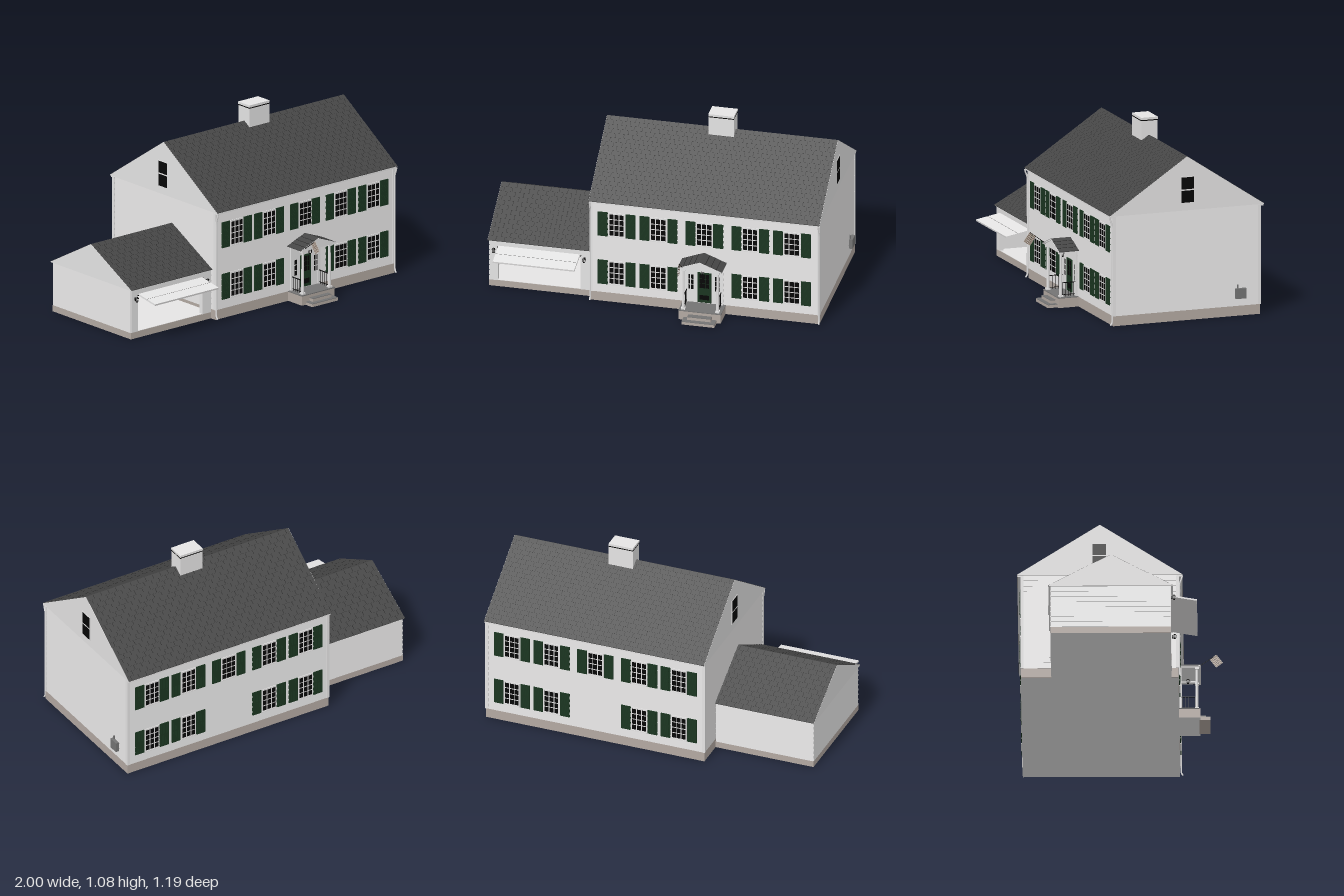
import * as THREE from 'three';
import { mergeGeometries } from 'three/addons/utils/BufferGeometryUtils.js';

const paint = (name, color, side = THREE.FrontSide) => {
  const m = new THREE.MeshStandardMaterial({ color, side });
  m.name = name;
  return m;
};

export function createModel() {
  const house = new THREE.Group();
  house.name = 'house';
  const white = paint('white siding', 0xe5e4e4);
  const roofGrey = paint('roof shingle', 0x464646);
  const slitGrey = paint('shingle gap', 0x222222);
  const stone = paint('foundation stone', 0xb3a9a2);
  const grey = paint('grey concrete', 0x747474);
  const green = paint('shutter green', 0x1a3520);
  const black = paint('black', 0x060606);
  const cloth = paint('flag cloth', 0xcfc4b8, THREE.DoubleSide);
  const brown = paint('flag stripe', 0x7c685c, THREE.DoubleSide);

  const add = (name, geo, mat, parent = house) => {
    const m = new THREE.Mesh(geo, mat);
    m.name = name;
    parent.add(m);
    return m;
  };
  const box = (name, mat, x0, x1, y0, y1, z0, z1, parent) => {
    const m = add(name, new THREE.BoxGeometry(x1 - x0, y1 - y0, z1 - z0), mat, parent);
    m.position.set((x0 + x1) / 2, (y0 + y1) / 2, (z0 + z1) / 2);
    return m;
  };
  // Side profile of [z, y] points, extruded along x
  const prism = (name, mat, pts, x0, x1, parent) => {
    const shape = new THREE.Shape(pts.map(([z, y]) => new THREE.Vector2(-z, y)));
    const g = new THREE.ExtrudeGeometry(shape, { depth: x1 - x0, bevelEnabled: false });
    return add(name, g.rotateY(Math.PI / 2).translate(x0, 0, 0), mat, parent);
  };
  const tube = (name, mat, pts, r) => add(name, new THREE.TubeGeometry(
    new THREE.CatmullRomCurve3(pts.map((p) => new THREE.Vector3(...p)), false, 'centripetal'), pts.length * 5, r, 6), mat);

  // Overlapping clapboards on one wall, facing local +z
  const siding = (name, x, z, turn, width, y0, y1, n) => {
    const pts = [[0, y0]], step = (y1 - y0) / n;
    for (let i = 0; i < n; i++) pts.push([0.005, y0 + i * step], [0.002, y0 + (i + 1) * step]);
    pts.push([0, y1]);
    const m = prism(name, white, pts, -width / 2, width / 2);
    m.position.set(x, 0, z);
    m.rotation.y = turn;
  };

  // Gable roof with stepped shingle courses, staggered gaps and white gable ends
  const shingleRoof = (name, x0, x1, zFront, zBack, yEave, yRidge, n, d = 0.0022, gap = 0.05) => {
    const zr = (zFront + zBack) / 2;
    const slits = [];
    const slope = (ze, s) => {
      const run = Math.abs(ze - zr), rise = yRidge - yEave, len = Math.hypot(run, rise);
      const at = (t, o) => [ze + (zr - ze) * t + (s * o * rise) / len, yEave + rise * t + (o * run) / len];
      const pts = [];
      for (let i = 0; i < n; i++) {
        const a = at(i / n, d), b = at((i + 1) / n, 0.0006);
        pts.push(a, b);
        const up = new THREE.Vector3(0, b[1] - a[1], b[0] - a[0]);
        const l = up.length();
        const X = new THREE.Vector3(s, 0, 0), Y = up.normalize(), Z = X.clone().cross(Y);
        for (let x = x0 + gap * (i % 2 ? 0.5 : 0.95); x < x1 - 0.01; x += gap) {
          const M = new THREE.Matrix4().makeBasis(X, Y, Z)
            .setPosition(x, (a[1] + b[1]) / 2 + Z.y * 0.0008, (a[0] + b[0]) / 2 + Z.z * 0.0008);
          slits.push(new THREE.PlaneGeometry(0.003, l * 0.8).applyMatrix4(M));
        }
      }
      return pts;
    };
    const front = slope(zFront, 1), back = slope(zBack, -1).reverse().slice(1);
    prism(name, roofGrey, [[zFront, yEave - 0.002], ...front, ...back, [zBack, yEave - 0.002], [zr, yRidge - 0.004]], x0, x1);
    add(name + ' shingle gaps', mergeGeometries(slits), slitGrey);
    prism(name + ' gable', white, [[zFront, yEave - 0.003], [zFront, yEave], [zr, yRidge], [zBack, yEave], [zBack, yEave - 0.003]],
      x0 - 0.001, x1 + 0.001);
  };

  // Foundations and their pale undersides
  const base = (name, x0, x1, z0, z1, h) => {
    box(name, stone, x0, x1, 0.001, h, z0, z1);
    const p = add(name + ' underside', new THREE.PlaneGeometry(x1 - x0, z1 - z0).rotateX(Math.PI / 2), white);
    p.position.set((x0 + x1) / 2, 0, (z0 + z1) / 2);
  };
  base('house foundation', -0.383, 0.978, -0.568, 0.343, 0.06);
  base('garage foundation', -0.993, -0.383, -0.393, 0.303, 0.04);
  base('porch foundation', 0.17, 0.42, 0.343, 0.465, 0.058);

  // Main house walls
  box('house walls', white, -0.38, 0.975, 0.06, 0.655, -0.565, 0.34);
  siding('front siding', 0.2975, 0.34, 0, 1.355, 0.06, 0.655, 17);
  siding('back siding', 0.2975, -0.565, Math.PI, 1.355, 0.06, 0.655, 17);
  siding('right siding', 0.975, -0.1125, Math.PI / 2, 0.905, 0.06, 0.655, 17);
  siding('left siding', -0.38, -0.1125, -Math.PI / 2, 0.905, 0.06, 0.655, 17);
  for (const x of [-0.378, 0.973]) for (const z of [-0.563, 0.338])
    box('corner board', white, x - 0.009, x + 0.009, 0.06, 0.65, z - 0.009, z + 0.009);
  shingleRoof('house roof', -0.388, 0.982, 0.365, -0.59, 0.656, 0.973, 20);

  // Chimney with a dark joint under its cap
  box('chimney', white, 0.225, 0.375, 0.88, 1.058, -0.165, -0.065);
  box('chimney joint', black, 0.2242, 0.3758, 1.057, 1.063, -0.1658, -0.0642);
  box('chimney cap', white, 0.224, 0.376, 1.063, 1.077, -0.166, -0.064);

  // Shuttered windows
  const paneGrid = (parent, cols, rows, w, h, cx, cy, z, gap) => {
    const cw = w / cols, ch = h / rows, g = [];
    for (let i = 0; i < cols; i++) for (let j = 0; j < rows; j++)
      g.push(new THREE.PlaneGeometry(cw - gap, ch - gap).translate(cx + (i + 0.5) * cw - w / 2, cy + (j + 0.5) * ch - h / 2, z));
    add('panes', mergeGeometries(g), black, parent);
  };
  const shutteredWindow = (x, y, z, turn) => {
    const g = new THREE.Group();
    g.name = 'shuttered window';
    g.position.set(x, y, z);
    g.rotation.y = turn;
    house.add(g);
    box('window frame', white, -0.049, 0.049, -0.078, 0.078, -0.004, 0.006, g);
    box('window sill', white, -0.049, 0.049, -0.08, -0.074, -0.004, 0.008, g);
    paneGrid(g, 3, 4, 0.09, 0.142, 0, 0, 0.0065, 0.0055);
    for (const s of [-1, 1]) {
      const c = s * 0.083;
      box('shutter', green, c - 0.029, c + 0.029, -0.078, 0.078, -0.004, 0.007, g);
      for (const cy of [-0.037, 0.037]) for (let k = -4; k <= 4; k++)
        box('shutter slat', green, c - 0.022, c + 0.022, cy + k * 0.007 - 0.002, cy + k * 0.007 + 0.002, 0.006, 0.008, g);
    }
  };
  [-0.225, 0.022, 0.295, 0.568, 0.815].forEach((x, i) => {
    for (const [z, turn] of [[0.343, 0], [-0.568, Math.PI]]) {
      shutteredWindow(x, 0.507, z, turn);
      if (i !== 2) shutteredWindow(x, 0.193, z, turn);
    }
  });

  // Gable windows
  for (const [x, s] of [[0.983, 1], [-0.389, -1]]) {
    const g = new THREE.Group();
    g.name = 'gable window';
    g.position.set(x, 0.775, -0.116);
    g.rotation.y = (s * Math.PI) / 2;
    house.add(g);
    box('window frame', white, -0.045, 0.045, -0.08, 0.08, -0.004, 0.002, g);
    paneGrid(g, 1, 2, 0.086, 0.158, 0, 0, 0.0025, 0.008);
  }

  // Front door with sidelights
  box('door surround', white, 0.193, 0.397, 0.06, 0.32, 0.34, 0.349);
  box('front door', green, 0.255, 0.337, 0.066, 0.26, 0.345, 0.353);
  paneGrid(house, 3, 3, 0.06, 0.092, 0.296, 0.205, 0.3535, 0.002);
  paneGrid(house, 1, 1, 0.06, 0.032, 0.296, 0.099, 0.3535, 0.002);
  for (const x of [0.2145, 0.3765]) paneGrid(house, 2, 3, 0.037, 0.1, x, 0.193, 0.3495, 0.005);

  // Porch deck, steps, columns and railings
  box('porch deck', grey, 0.168, 0.422, 0.057, 0.062, 0.343, 0.467);
  for (const [x0, x1, h, z] of [[0.228, 0.367, 0.04, 0.497], [0.2, 0.395, 0.02, 0.523]]) {
    box('step', stone, x0, x1, 0, h - 0.003, 0.46, z);
    box('step tread', grey, x0, x1, h - 0.003, h, 0.46, z);
  }
  for (const x of [0.193, 0.397]) {
    const col = add('porch column', new THREE.CylinderGeometry(0.0075, 0.009, 0.26, 12), white);
    col.position.set(x, 0.19, 0.445);
    box('column foot', white, x - 0.012, x + 0.012, 0.06, 0.072, 0.433, 0.457);
    box('column head', white, x - 0.012, x + 0.012, 0.315, 0.328, 0.433, 0.457);
    box('pilaster', white, x - 0.01, x + 0.01, 0.06, 0.328, 0.34, 0.355);
    box('railing top', black, x - 0.0025, x + 0.0025, 0.142, 0.146, 0.35, 0.44);
    box('railing bottom', black, x - 0.0015, x + 0.0015, 0.072, 0.075, 0.35, 0.44);
    for (let z = 0.362; z < 0.44; z += 0.018) box('baluster', black, x - 0.001, x + 0.001, 0.062, 0.142, z, z + 0.002);
    box('porch beam', white, x - 0.012, x + 0.012, 0.325, 0.34, 0.343, 0.46);
  }
  box('porch lintel', white, 0.181, 0.409, 0.325, 0.34, 0.436, 0.46);

  // Porch pediment and roof
  const facing = (name, mat, pts, z0, z1) => add(name, new THREE.ExtrudeGeometry(
    new THREE.Shape(pts.map((p) => new THREE.Vector2(...p))), { depth: z1 - z0, bevelEnabled: false }).translate(0, 0, z0), mat);
  facing('pediment', white, [[0.175, 0.333], [0.415, 0.333], [0.295, 0.381]], 0.343, 0.46);
  facing('pediment trim', white, [[0.165, 0.328], [0.165, 0.336], [0.295, 0.386], [0.425, 0.336], [0.425, 0.328], [0.295, 0.377]], 0.455, 0.467);
  facing('porch roof', roofGrey, [[0.163, 0.332], [0.163, 0.337], [0.295, 0.388], [0.427, 0.337], [0.427, 0.332], [0.295, 0.38]], 0.343, 0.465);
  for (const s of [-1, 1]) for (let i = 0; i < 3; i++) {
    const line = box('porch shingle gap', slitGrey, -0.0015, 0.0015, -0.0005, 0.0007, 0.345, 0.464);
    line.position.x = 0.295 + s * (0.033 + i * 0.033);
    line.position.y = 0.388 - (0.033 + i * 0.033) * 0.386;
    line.rotation.z = -s * 0.37;
  }

  // Lanterns: black frame around pale glass
  const lantern = (x, y, z) => {
    const g = new THREE.Group();
    g.name = 'lantern';
    g.position.set(x, y, z);
    house.add(g);
    add('lantern base', new THREE.CylinderGeometry(0.007, 0.005, 0.006, 6), black, g).position.y = -0.011;
    add('lantern glass', new THREE.CylinderGeometry(0.0085, 0.0065, 0.016, 6), white, g);
    add('lantern cap', new THREE.CylinderGeometry(0.003, 0.012, 0.009, 6), black, g).position.y = 0.0125;
    for (let i = 0; i < 6; i++) {
      const a = (i * Math.PI) / 3;
      const bar = box('lantern bar', black, -0.001, 0.001, -0.009, 0.009, -0.001, 0.001, g);
      bar.position.set(0.008 * Math.sin(a), 0, 0.008 * Math.cos(a));
    }
    return g;
  };
  const hanging = lantern(0.295, 0.288, 0.393);
  box('lantern rod', black, -0.0012, 0.0012, 0.015, 0.045, -0.0012, 0.0012, hanging);
  for (const x of [-0.962, -0.425]) {
    lantern(x, 0.24, 0.322);
    box('lantern bracket', black, x - 0.004, x + 0.004, 0.232, 0.25, 0.305, 0.315);
  }

  // Flag on a slanted pole
  tube('flag pole', black, [[0.193, 0.335, 0.455], [0.193, 0.373, 0.507], [0.193, 0.411, 0.558]], 0.002);
  const flag = new THREE.Group();
  flag.name = 'flag';
  flag.position.set(0.193, 0.372, 0.557);
  flag.rotation.x = -0.62;
  house.add(flag);
  for (let i = 0; i < 13; i++) {
    const stripe = add('flag stripe', new THREE.PlaneGeometry(0.0495 / 13, 0.066).rotateY(Math.PI / 2), i % 2 ? brown : cloth, flag);
    stripe.position.set(0.002 * Math.sin(i / 2), 0, (i - 6) * 0.0495 / 13);
  }

  // Gutters and downspouts
  box('front gutter', white, -0.385, 0.98, 0.643, 0.654, 0.343, 0.362);
  box('back gutter', white, -0.385, 0.98, 0.643, 0.654, -0.587, -0.566);
  for (const x of [-0.382, 0.977])
    tube('downspout', white, [[x, 0.65, 0.366], [x, 0.632, 0.362], [x, 0.6, 0.35], [x, 0.55, 0.349], [x, 0.06, 0.349], [x, 0.02, 0.351], [x, 0.006, 0.36]], 0.005);

  // Electric meter
  box('meter box', grey, 0.975, 1, 0.105, 0.165, -0.475, -0.412);
  box('meter pipe', grey, 0.979, 0.987, 0.165, 0.187, -0.43, -0.423);

  // Garage walls around the open doorway
  box('garage back wall', white, -0.99, -0.38, 0.04, 0.3, -0.39, -0.375);
  box('garage side wall', white, -0.99, -0.975, 0.04, 0.3, -0.39, 0.3);
  box('garage door jamb', white, -0.99, -0.94, 0.04, 0.3, 0.28, 0.305);
  box('garage door jamb', white, -0.45, -0.38, 0.04, 0.3, 0.28, 0.305);
  box('garage door header', white, -0.99, -0.38, 0.255, 0.3, 0.28, 0.305);
  box('garage floor', white, -0.975, -0.385, 0.039, 0.042, -0.375, 0.302);
  siding('garage back siding', -0.6875, -0.39, Math.PI, 0.605, 0.04, 0.3, 8);
  siding('garage left siding', -0.99, -0.045, -Math.PI / 2, 0.69, 0.04, 0.3, 8);
  shingleRoof('garage roof', -0.999, -0.384, 0.315, -0.405, 0.302, 0.497, 13);

  // Raised garage door, tilted outward
  const door = new THREE.Group();
  door.name = 'garage door';
  door.position.set(-0.695, 0.252, 0.36);
  door.rotation.x = 0.18;
  house.add(door);
  box('door slab', white, -0.242, 0.242, -0.005, 0.005, -0.1, 0.095, door);
  box('door seam', grey, -0.242, 0.242, 0.0045, 0.0055, 0.019, 0.021, door);
  box('door track', black, -0.945, -0.445, 0.257, 0.262, 0.304, 0.309);
  return house;
}
